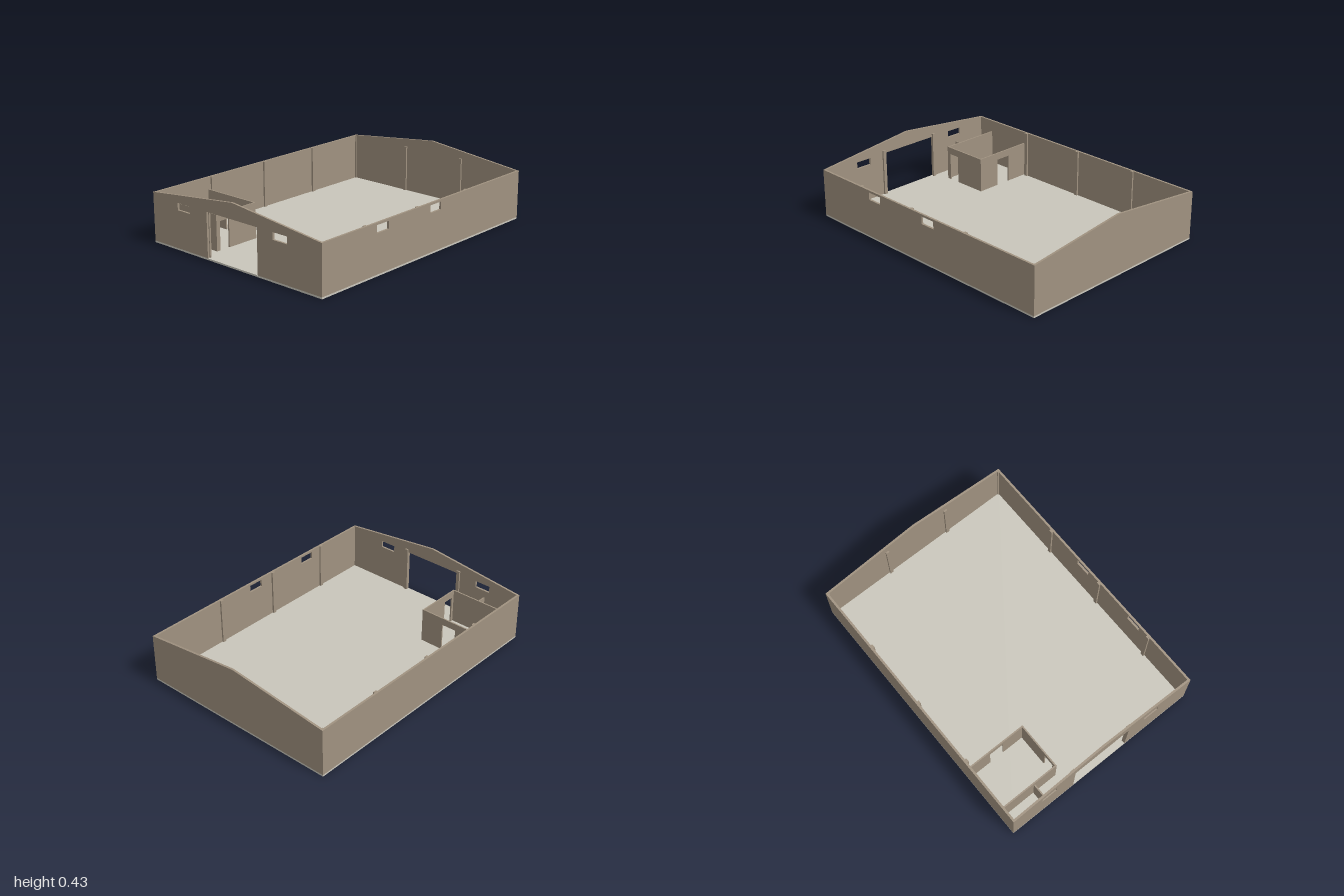
import * as THREE from 'three';

const W = 0.747, L = 1, T = 0.015;          // half width, half length, outer wall thickness
const FLOOR = 0.012, EAVE = 0.347, RIDGE = 0.43;
const ROOM_H = 0.26, DOOR_H = 0.21, t = 0.01; // inner walls

const wallMat = new THREE.MeshStandardMaterial({ color: 0xa09280 });
const floorMat = new THREE.MeshStandardMaterial({ color: 0xc9c6bb });

// Upright wall from u0 to u1, with optional ridge, a door {a, b, top} and windows [a, b, low, high]
function wallGeometry(u0, u1, height, depth, { ridge, door, windows = [] } = {}) {
  const s = new THREE.Shape();
  s.moveTo(u0, FLOOR);
  if (door) {
    s.lineTo(door.a, FLOOR);
    s.lineTo(door.a, door.top);
    s.lineTo(door.b, door.top);
    s.lineTo(door.b, FLOOR);
  }
  s.lineTo(u1, FLOOR);
  s.lineTo(u1, height);
  if (ridge) s.lineTo((u0 + u1) / 2, ridge);
  s.lineTo(u0, height);
  s.closePath();
  for (const [a, b, low, high] of windows) {
    const h = new THREE.Path();
    h.moveTo(a, low);
    h.lineTo(a, high);
    h.lineTo(b, high);
    h.lineTo(b, low);
    h.closePath();
    s.holes.push(h);
  }
  return new THREE.ExtrudeGeometry(s, { depth, bevelEnabled: false });
}

export function createModel() {
  const group = new THREE.Group();

  const add = (name, geometry, material = wallMat) => {
    const m = new THREE.Mesh(geometry, material);
    m.name = name;
    group.add(m);
    return m;
  };
  // Wall running along x, occupying z .. z + depth
  const wallX = (name, x0, x1, z, h, depth, options) =>
    add(name, wallGeometry(x0, x1, h, depth, options).translate(0, 0, z));
  // Wall running along z, occupying x - depth .. x
  const wallZ = (name, z0, z1, x, h, depth, options) =>
    add(name, wallGeometry(z0, z1, h, depth, options).rotateY(-Math.PI / 2).translate(x, 0, 0));
  const post = (name, x, z, w, d) =>
    add(name, new THREE.BoxGeometry(w, EAVE - FLOOR - 0.001, d).translate(x, (EAVE + FLOOR) / 2, z));

  // Floor slab
  add('floorSlab', new THREE.BoxGeometry(2 * W, FLOOR, 2 * L).translate(0, FLOOR / 2, 0), floorMat);

  // Gable walls
  wallX('frontGableWall', -W, W, L - T, EAVE, T, {
    ridge: RIDGE,
    door: { a: -0.235, b: 0.214, top: 0.322 },
    windows: [[-0.508, -0.391, 0.273, 0.322], [0.349, 0.467, 0.273, 0.322]],
  });
  wallX('backGableWall', -W, W, -L, EAVE, T, { ridge: RIDGE });

  // Side walls
  wallZ('leftSideWall', -L + T, L - T, W, EAVE, T, {
    windows: [[0.397, 0.509, 0.279, 0.332], [-0.123, -0.011, 0.279, 0.332]],
  });
  wallZ('rightSideWall', -L + T, L - T, -W + T, EAVE, T);

  // Pilasters along the inside of the walls
  const p = 0.012, pw = 0.025;
  for (const z of [-0.4, 0.1, 0.6]) post('leftPilaster', W - T - p / 2, z, p, pw);
  for (const z of [-0.5, 0, 0.5]) post('rightPilaster', -W + T + p / 2, z, p, pw);
  for (const x of [-0.24, 0.26]) post('backPilaster', x, -L + T + p / 2, pw, p);
  for (const x of [-0.242, 0.226]) post('frontPilaster', x, L - T - p / 2, pw, p);
  for (const side of [-1, 1]) post('cornerPost', side * (W - T - 0.004), -L + T + 0.004, 0.008, 0.008);

  // Corner room with two doorways, and a low partition beside it
  const inner = -W + T;
  wallX('roomBackWall', inner, -0.285, 0.525, ROOM_H, t, { door: { a: -0.565, b: -0.455, top: DOOR_H } });
  wallX('roomFrontWall', inner, -0.285, 0.865, ROOM_H, t);
  wallZ('roomSideWall', 0.525 + t, 0.865, -0.285, ROOM_H, t, { door: { a: 0.765, b: 0.845, top: DOOR_H } });
  wallZ('partition', 0.865 + t, L - T, -0.465, 0.22, t);

  return group;
}
